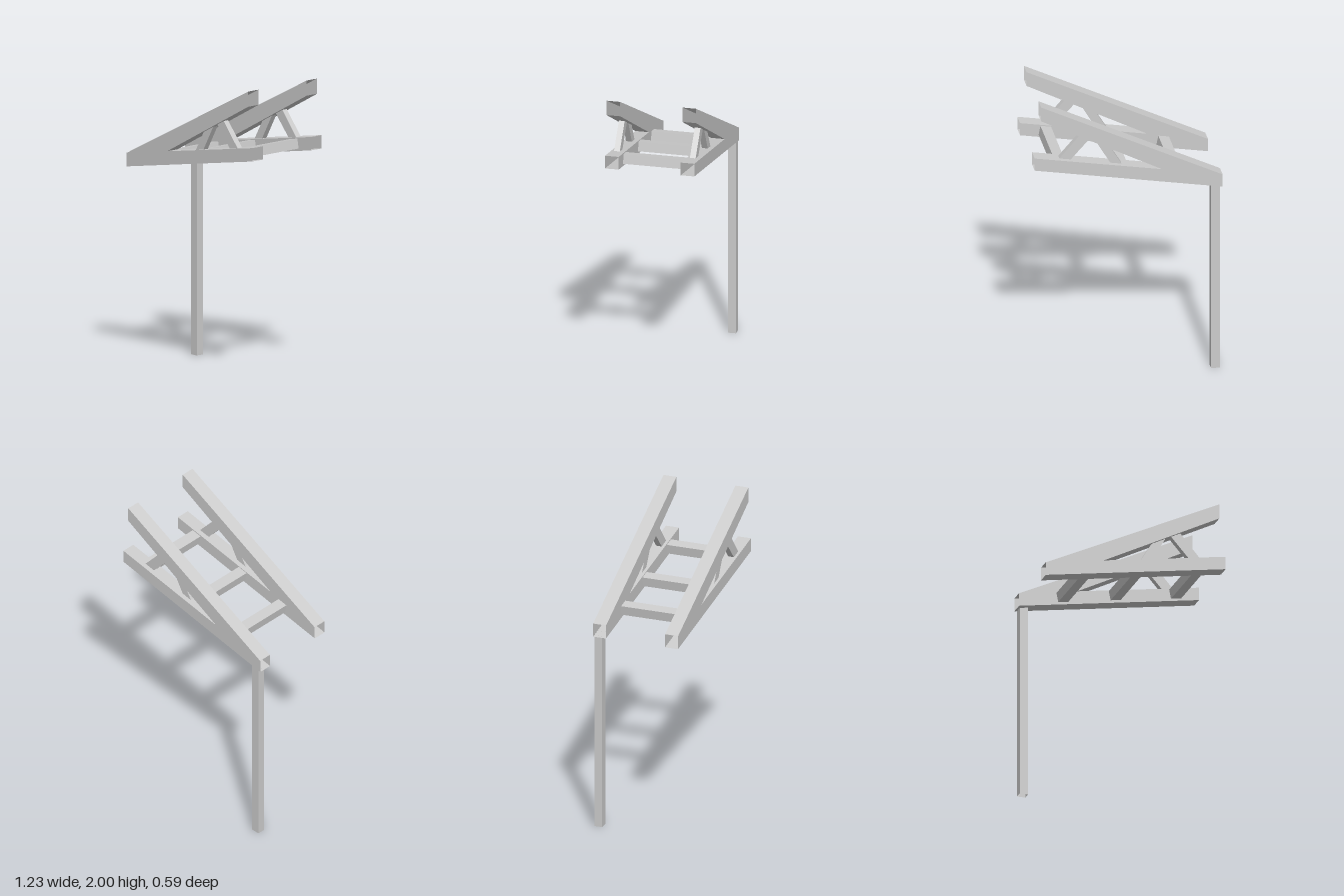
import * as THREE from 'three';

const material = new THREE.MeshStandardMaterial({ color: 0xcccccc, side: THREE.DoubleSide, flatShading: true });

// Open-ended tube between two rings of corners, ordered counter-clockwise about its direction
function tube(name, ringA, ringB) {
  const positions = [];
  const n = ringA.length;
  for (let i = 0; i < n; i++) {
    const j = (i + 1) % n;
    const [a, b, c, d] = [ringA[i], ringA[j], ringB[j], ringB[i]];
    positions.push(...a, ...b, ...c, ...a, ...c, ...d);
  }
  const geometry = new THREE.BufferGeometry();
  geometry.setAttribute('position', new THREE.Float32BufferAttribute(positions, 3));
  geometry.computeVertexNormals();
  const mesh = new THREE.Mesh(geometry, material);
  mesh.name = name;
  return mesh;
}

// Bar lying in the truss plane: each end is cut between a left-hand and a right-hand corner
function bar(name, start, end, z, depth) {
  const ring = ([[lx, ly], [rx, ry]]) => {
    const f = z + depth / 2, b = z - depth / 2;
    return [[lx, ly, f], [rx, ry, f], [rx, ry, b], [lx, ly, b]];
  };
  return tube(name, ring(start), ring(end));
}

// Two chords and two diagonal webs
function truss(name, z, webZ) {
  const g = new THREE.Group();
  g.name = name;
  g.add(
    bar('lowerChord', [[-0.615, 1.4], [-0.615, 1.31]], [[0.615, 1.635], [0.615, 1.547]], z, 0.09),
    bar('upperChord', [[-0.61, 1.401], [-0.22, 1.475]], [[0.572, 2], [0.572, 1.9]], z, 0.09),
    bar('leftWeb', [[0.04, 1.525], [0.114, 1.539]], [[0.124, 1.667], [0.214, 1.713]], webZ, 0.038),
    bar('rightWeb', [[0.373, 1.588], [0.447, 1.603]], [[0.246, 1.729], [0.31, 1.762]], webZ, 0.038),
  );
  return g;
}

// Cross member between the trusses, tilted with the lower chord, placed by its top right corner
function crossMember(x, y, width, height) {
  const tilt = Math.atan(0.191), c = Math.cos(tilt), s = Math.sin(tilt);
  const corners = [[0, 0], [-width, 0], [-width, -height], [0, -height]];
  const ring = (z) => corners.map(([u, v]) => [x + u * c - v * s, y + u * s + v * c, z]);
  return tube('crossMember', ring(-0.205), ring(0.205));
}

export function createModel() {
  const model = new THREE.Group();
  model.name = 'trussFrame';

  model.add(truss('frontTruss', 0.25, 0.257), truss('backTruss', -0.25, -0.244));

  for (const [x, y] of [[-0.29, 1.455], [0.068, 1.525], [0.481, 1.602]]) {
    model.add(crossMember(x, y, 0.071, 0.064));
  }

  // Single post under the back truss
  model.add(bar('post', [[-0.597, 0], [-0.54, 0]], [[-0.597, 1.314], [-0.54, 1.325]], -0.267, 0.052));

  return model;
}
